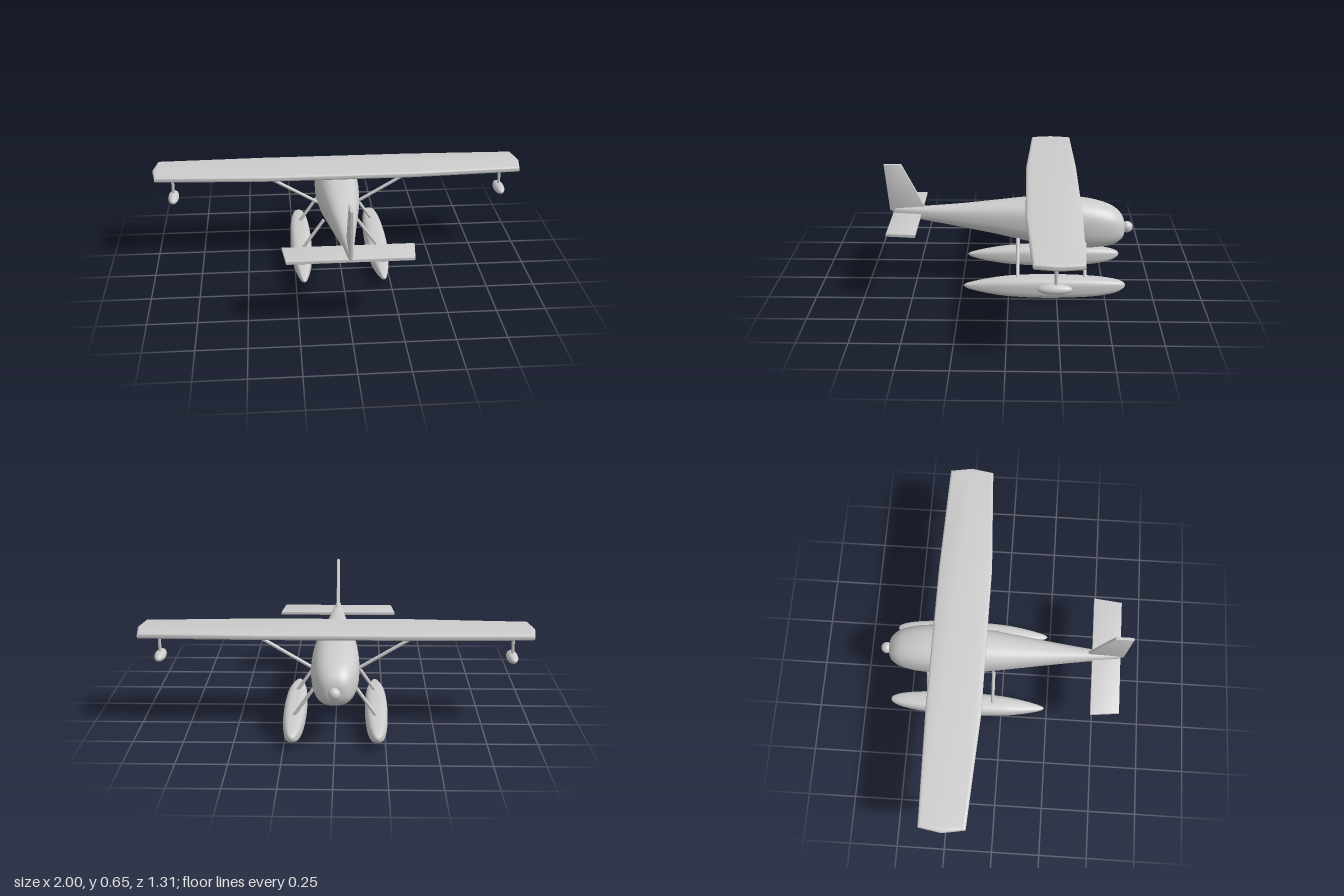
import * as THREE from 'three';
import { toCreasedNormals } from 'three/addons/utils/BufferGeometryUtils.js';

const paint = new THREE.MeshStandardMaterial({ color: 0xcccccc });
paint.name = 'light grey paint';

// Smooth body along z from stations [z, top, bottom, halfWidth], with superellipse sections
function loft(stations, power, steps = 64, sides = 40) {
  const heights = new THREE.CatmullRomCurve3(
    stations.map(s => new THREE.Vector3(s[0], s[1], s[2])), false, 'catmullrom', 0.5);
  const widths = new THREE.CatmullRomCurve3(
    stations.map(s => new THREE.Vector3(s[0], s[3], 0)), false, 'catmullrom', 0.5);
  const pos = [], idx = [];
  const bend = v => Math.sign(v) * Math.abs(v) ** (2 / power);
  for (let i = 0; i <= steps; i++) {
    const h = heights.getPoint(i / steps);
    const w = Math.max(widths.getPoint(i / steps).y, 0.0005);
    for (let j = 0; j < sides; j++) {
      const a = (j / sides) * Math.PI * 2;
      pos.push(w * bend(Math.cos(a)), (h.y + h.z) / 2 + (h.y - h.z) / 2 * bend(Math.sin(a)), h.x);
      if (i === steps) continue;
      const k = (j + 1) % sides, r = i * sides, n = r + sides;
      idx.push(r + j, r + k, n + k, r + j, n + k, n + j);
    }
  }
  const g = new THREE.BufferGeometry();
  g.setAttribute('position', new THREE.Float32BufferAttribute(pos, 3));
  g.setIndex(idx);
  g.computeVertexNormals();
  return g;
}

// Thin plate with rounded edges; the outline is its full size
function plate(points, thickness, bevel) {
  const g = new THREE.ExtrudeGeometry(new THREE.Shape(points.map(p => new THREE.Vector2(...p))), {
    depth: thickness - 2 * bevel, bevelThickness: bevel, bevelSize: bevel, bevelOffset: -bevel, bevelSegments: 4,
  });
  g.translate(0, 0, -(thickness - 2 * bevel) / 2);
  return toCreasedNormals(g, 0.6);
}

function rod(a, b, radius) {
  const p = new THREE.Vector3(...a), q = new THREE.Vector3(...b);
  const dir = q.clone().sub(p);
  const g = new THREE.CylinderGeometry(radius, radius, dir.length(), 16);
  g.applyQuaternion(new THREE.Quaternion().setFromUnitVectors(new THREE.Vector3(0, 1, 0), dir.normalize()));
  const mid = p.add(q).multiplyScalar(0.5);
  return g.translate(mid.x, mid.y, mid.z);
}

export function createModel() {
  const model = new THREE.Group();
  model.name = 'floatplane';
  const add = (name, geometry) => {
    const mesh = new THREE.Mesh(geometry, paint);
    mesh.name = name;
    model.add(mesh);
    return mesh;
  };

  // Fuselage, nose toward -z
  add('fuselage', loft([
    [-0.612, 0.311, 0.309, 0.0005],
    [-0.606, 0.352, 0.268, 0.045],
    [-0.585, 0.388, 0.241, 0.073],
    [-0.54, 0.423, 0.218, 0.097],
    [-0.46, 0.451, 0.206, 0.114],
    [-0.36, 0.468, 0.204, 0.12],
    [-0.23, 0.476, 0.213, 0.116],
    [-0.08, 0.466, 0.242, 0.104],
    [0.08, 0.449, 0.277, 0.083],
    [0.25, 0.432, 0.309, 0.058],
    [0.42, 0.42, 0.339, 0.035],
    [0.56, 0.413, 0.364, 0.018],
    [0.605, 0.409, 0.372, 0.011],
    [0.62, 0.392, 0.389, 0.0005],
  ], 2.5, 91));
  add('spinner', new THREE.SphereGeometry(0.03, 24, 16).translate(0, 0.31, -0.625));

  // High wing with tapered outer panels and blunt pointed tips
  const half = [[0.4, -0.368], [0.98, -0.353], [1, -0.235], [0.98, -0.12], [0.4, -0.087]];
  const wing = [...half, ...half.map(([x, z]) => [-x, z]).reverse()];
  add('wing', plate(wing, 0.032, 0.014).rotateX(Math.PI / 2).translate(0, 0.503, 0));

  // Tail surfaces
  add('tailplane', plate([[-0.325, 0.465], [0.325, 0.465], [0.308, 0.614], [-0.308, 0.614]], 0.018, 0.004)
    .rotateX(Math.PI / 2).translate(0, 0.376, 0));
  add('fin', plate([[-0.44, 0.41], [-0.63, 0.395], [-0.655, 0.65], [-0.563, 0.65]], 0.016, 0.004)
    .rotateY(Math.PI / 2));

  for (const s of [1, -1]) {
    const side = s > 0 ? 'left' : 'right';

    // Main float and its two struts
    add(side + 'Float', loft([
      [-0.606, 0.068, 0.064, 0.001],
      [-0.595, 0.082, 0.05, 0.017],
      [-0.55, 0.096, 0.028, 0.034],
      [-0.46, 0.107, 0.012, 0.048],
      [-0.33, 0.113, 0.004, 0.056],
      [-0.17, 0.114, 0.001, 0.058],
      [0, 0.106, 0.008, 0.051],
      [0.12, 0.09, 0.023, 0.035],
      [0.21, 0.071, 0.043, 0.015],
      [0.235, 0.06, 0.058, 0.001],
    ], 3)).position.x = s * 0.209;
    for (const z of [-0.397, -0.047])
      add(side + 'FloatStrut', rod([s * 0.21, 0.1, z], [s * 0.09, 0.275, z], 0.009));

    // Wing brace
    add(side + 'WingStrut', rod([s * 0.44, 0.492, -0.226], [s * 0.11, 0.295, -0.233], 0.009));

    // Wingtip float
    add(side + 'TipFloat', new THREE.SphereGeometry(1, 24, 16).scale(0.029, 0.025, 0.078)
      .translate(s * 0.895, 0.359, -0.22));
    add(side + 'TipStrut', rod([s * 0.895, 0.37, -0.226], [s * 0.895, 0.495, -0.226], 0.008));
  }
  return model;
}
